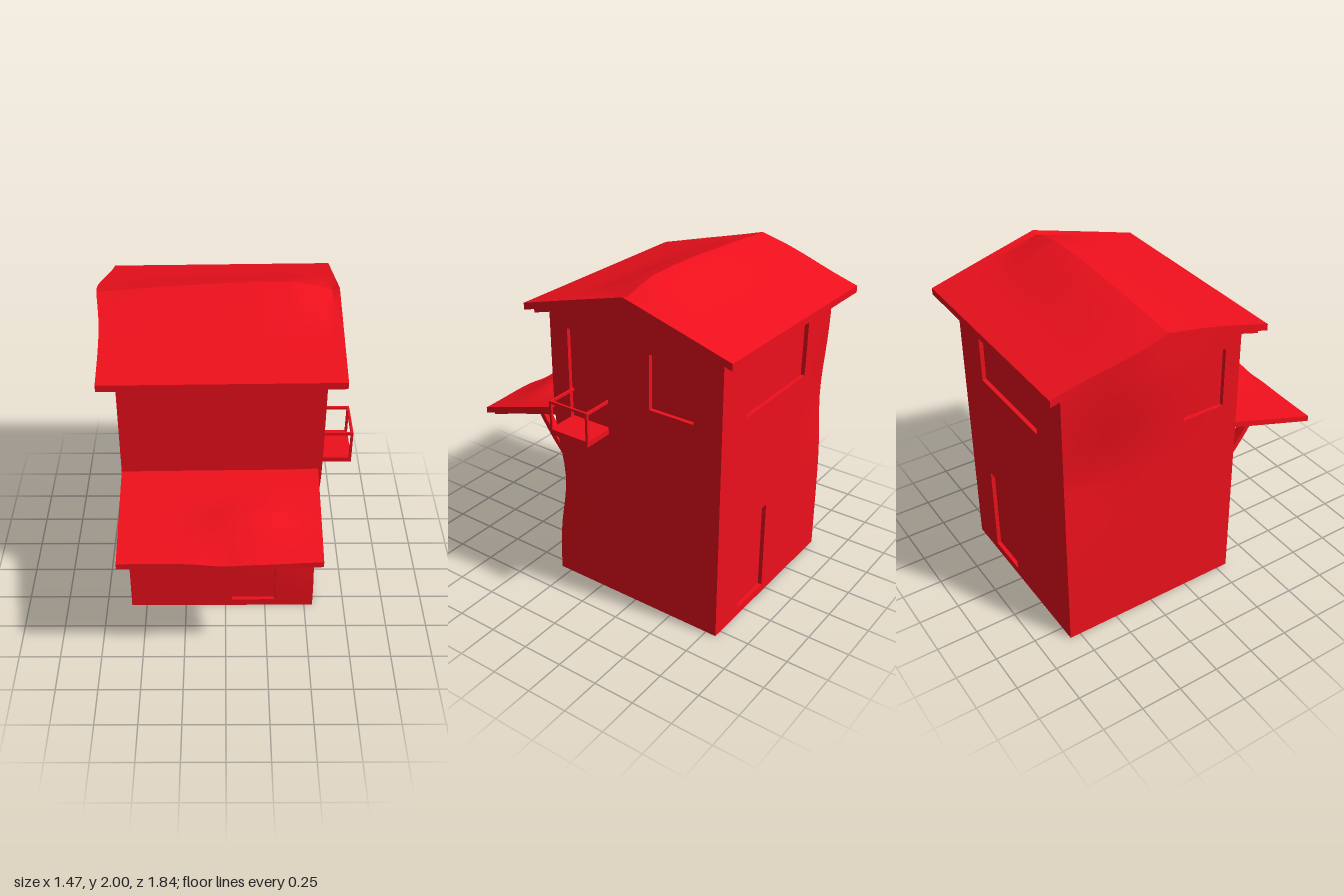
import * as THREE from 'three';
import { toCreasedNormals } from 'three/addons/utils/BufferGeometryUtils.js';

const material = new THREE.MeshStandardMaterial({ color: 0xee101c });
const RIDGE = -0.26, WALL_TOP = 1.68;
const body = { x0: -0.595, x1: 0.552, z0: -0.815, z1: 0.322 };

const bump = (v, centre, width) => Math.exp(-(((v - centre) / width) ** 2));
const ease = (v, a, b) => THREE.MathUtils.smoothstep(v, a, b);

function add(group, name, geometry) {
  const mesh = new THREE.Mesh(toCreasedNormals(geometry, 0.5), material);
  mesh.name = name;
  group.add(mesh);
  return mesh;
}

// Uneven ridge line: height along x
const ridgePoints = [[-0.74, 1.955], [-0.68, 1.937], [-0.4, 1.965], [0, 1.993], [0.2, 2], [0.4, 1.998], [0.52, 1.975], [0.61, 1.948], [0.65, 1.962]];
function ridgeHeight(x) {
  for (let i = 1; i < ridgePoints.length; i++) {
    const [xa, ya] = ridgePoints[i - 1], [xb, yb] = ridgePoints[i];
    if (x <= xb) return ya + (yb - ya) * Math.max(0, (x - xa) / (xb - xa));
  }
  return ridgePoints.at(-1)[1];
}

// Upper surface of the main roof
function roofTop(x, z) {
  const half = z > RIDGE ? 0.42 - RIDGE : RIDGE + 0.92;
  const t = 1 - Math.abs(z - RIDGE) / half;
  return 1.765 + 0.012 * x + 0.19 * t + (ridgeHeight(x) - 1.955 - 0.012 * x) * ease(t, 0.4, 1);
}

// Upper surface of the awning, with a soft swelling
function awningTop(x, z) {
  const swell = 0.045 * bump(x, 0.12, 0.25) * bump(z, 0.66, 0.13);
  return 1.105 + 0.014 * x - 0.31 * (z - 0.322) + swell - 0.012 * bump(x, -0.02, 0.1) * ease(z, 0.75, 0.9);
}

// The left side leans outward below the ridge
const lean = (x, z) => -0.05 * bump(z, -0.38, 0.3) * ease(-x, 0.2, 0.69);

// A curved board: a box whose vertices follow a surface
function board(group, name, [x0, x1], [z0, zMid, z1], top, drop, thickness, shift) {
  const geometry = new THREE.BoxGeometry(1, 1, 1, 32, 1, 32);
  const p = geometry.attributes.position;
  for (let i = 0; i < p.count; i++) {
    const x = x0 + (x1 - x0) * (p.getX(i) + 0.5);
    const s = p.getZ(i) * 2;
    const z = s < 0 ? zMid + (zMid - z0) * s : zMid + (z1 - zMid) * s;
    const y = top(x, z) - drop - (p.getY(i) < 0 ? thickness : 0);
    const [dx, dz] = shift(x, z);
    p.setXYZ(i, x + dx, y, z + dz);
  }
  add(group, name, geometry);
}

// Crooked walls: lean near the top and dents at two corners
function warp(x, y, z) {
  const frontDent = bump(y, 0.65, 0.28) * ease(x, 0.3, 0.55) * ease(z, 0, 0.32);
  const backDent = bump(y, 1.1, 0.3) * ease(-x, 0.2, 0.6) * ease(-z, 0.3, 0.8);
  return new THREE.Vector3(
    x + lean(x, z) * 1.2 * ease(y, 1.05, 1.75) - 0.015 * frontDent + 0.025 * backDent,
    y,
    z - 0.05 * frontDent + 0.015 * backDent
  );
}

// Openings per wall, as [u0, u1, v0, v1]; u runs rightward seen from outside
const walls = [
  { name: 'frontWall', u: [body.x0, body.x1], holes: [[0.04, 0.31, 0.05, 0.625]],
    place: (u, y, d) => [u, y, body.z1 - d], inward: [0, 0, -1] },
  { name: 'rightWall', u: [-body.z1, -body.z0], holes: [[-0.2, 0.075, 1.07, 1.645], [0.355, 0.64, 1.31, 1.635]],
    place: (u, y) => [body.x1, y, -u], inward: [-1, 0, 0] },
  { name: 'backWall', u: [-body.x1, -body.x0], holes: [[-0.32, -0.045, 0.05, 0.62], [-0.31, 0.33, 1.3, 1.63]],
    place: (u, y) => [-u, y, body.z0], inward: [0, 0, 1] },
  { name: 'leftWall', u: [body.z0, body.z1], holes: [[-0.05, 0.22, 1.25, 1.62]],
    place: (u, y) => [body.x0, y, u], inward: [1, 0, 0] }
];
walls[0].place = (u, y) => [u, y, body.z1];

function gridLines(a, b, n, extra) {
  const lines = Array.from({ length: n + 1 }, (_, i) => (i === n ? b : a + ((b - a) * i) / n));
  return [...new Set([...lines, ...extra])].sort((p, q) => p - q);
}
const rows = gridLines(0, WALL_TOP, 20, walls.flatMap(w => w.holes.flatMap(h => [h[2], h[3]])));
rows.push(2);

// Wall grid with recessed doors and windows and their reveals
function buildWall(group, { name, u, holes, place, inward }) {
  const cols = gridLines(u[0], u[1], 20, holes.flatMap(h => [h[0], h[1]]));
  const positions = [];
  const point = (i, j, depth) => {
    let [x, y, z] = place(cols[i], rows[j]);
    if (j === rows.length - 1) y = roofTop(x, z) - 0.05;
    return warp(x, y, z).addScaledVector(new THREE.Vector3(...inward), depth);
  };
  const quad = (a, b, c, d) => [a, b, c, a, c, d].forEach(v => positions.push(v.x, v.y, v.z));
  const depthAt = (i, j) => {
    if (i < 0 || j < 0 || i >= cols.length - 1 || j >= rows.length - 1) return 0;
    const cu = (cols[i] + cols[i + 1]) / 2, cv = (rows[j] + rows[j + 1]) / 2;
    return holes.some(h => cu > h[0] && cu < h[1] && cv > h[2] && cv < h[3]) ? 0.025 : 0;
  };
  for (let i = 0; i < cols.length - 1; i++) {
    for (let j = 0; j < rows.length - 1; j++) {
      const d = depthAt(i, j);
      quad(point(i, j, d), point(i + 1, j, d), point(i + 1, j + 1, d), point(i, j + 1, d));
      if (!d) continue;
      const edges = [[i, j, i + 1, j, 0, -1], [i + 1, j, i + 1, j + 1, 1, 0], [i + 1, j + 1, i, j + 1, 0, 1], [i, j + 1, i, j, -1, 0]];
      for (const [ia, ja, ib, jb, di, dj] of edges) {
        if (!depthAt(i + di, j + dj)) quad(point(ia, ja, 0), point(ib, jb, 0), point(ib, jb, d), point(ia, ja, d));
      }
    }
  }
  const geometry = new THREE.BufferGeometry();
  geometry.setAttribute('position', new THREE.Float32BufferAttribute(positions, 3));
  add(group, name, geometry);
}

function box(group, name, [x0, x1], [y0, y1], [z0, z1]) {
  const mesh = add(group, name, new THREE.BoxGeometry(x1 - x0, y1 - y0, z1 - z0));
  mesh.position.set((x0 + x1) / 2, (y0 + y1) / 2, (z0 + z1) / 2);
}

export function createModel() {
  const model = new THREE.Group();
  model.name = 'crookedHouse';

  // Walls and floor
  const house = new THREE.Group();
  house.name = 'walls';
  walls.forEach(w => buildWall(house, w));
  box(house, 'floor', [body.x0, body.x1], [0, 0.006], [body.z0, body.z1]);
  model.add(house);

  // Two-layer roof
  const roofShift = (x, z) => [lean(x, z), 0];
  board(model, 'roof', [-0.69, 0.648], [-0.92, RIDGE, 0.42], roofTop, 0, 0.04, roofShift);
  board(model, 'roofUnderlayer', [-0.655, 0.605], [-0.88, RIDGE, 0.385], roofTop, 0.038, 0.034, roofShift);

  // Two-layer awning with a wavy front edge
  const awningShift = (x, z) => [0, 0.02 * bump(x, 0.12, 0.3) * ease(z, 0.6, 0.9)];
  board(model, 'awning', [-0.595, 0.53], [0.28, 0.59, 0.897], awningTop, 0, 0.036, awningShift);
  board(model, 'awningUnderlayer', [-0.56, 0.5], [0.28, 0.57, 0.86], awningTop, 0.034, 0.026, awningShift);

  // Curved awning struts
  const profile = new THREE.Shape();
  profile.moveTo(-0.58, 0.985);
  profile.quadraticCurveTo(-0.46, 0.78, -0.29, 0.615);
  profile.lineTo(-0.29, 0.66);
  profile.quadraticCurveTo(-0.43, 0.8, -0.545, 0.985);
  for (const [name, x] of [['leftStrut', 0.36], ['rightStrut', -0.475]]) {
    const geometry = new THREE.ExtrudeGeometry(profile, { depth: 0.06, bevelEnabled: false, curveSegments: 8 });
    add(model, name, geometry.rotateY(Math.PI / 2)).position.x = x;
  }

  // Balcony: floor, corner posts and handrail
  const balcony = new THREE.Group();
  balcony.name = 'balcony';
  const [z0, z1, out, r] = [-0.07, 0.197, 0.732, 0.014];
  box(balcony, 'balconyFloor', [0.53, out], [1.067, 1.1], [z0, z1]);
  box(balcony, 'outerRail', [out - r, out], [1.26, 1.275], [z0, z1]);
  for (const [a, b] of [[z0, z0 + r], [z1 - r, z1]]) {
    box(balcony, 'post', [out - r, out], [1.1, 1.26], [a, b]);
    box(balcony, 'sideRail', [0.53, out - r], [1.26, 1.275], [a, b]);
  }
  model.add(balcony);
  return model;
}
